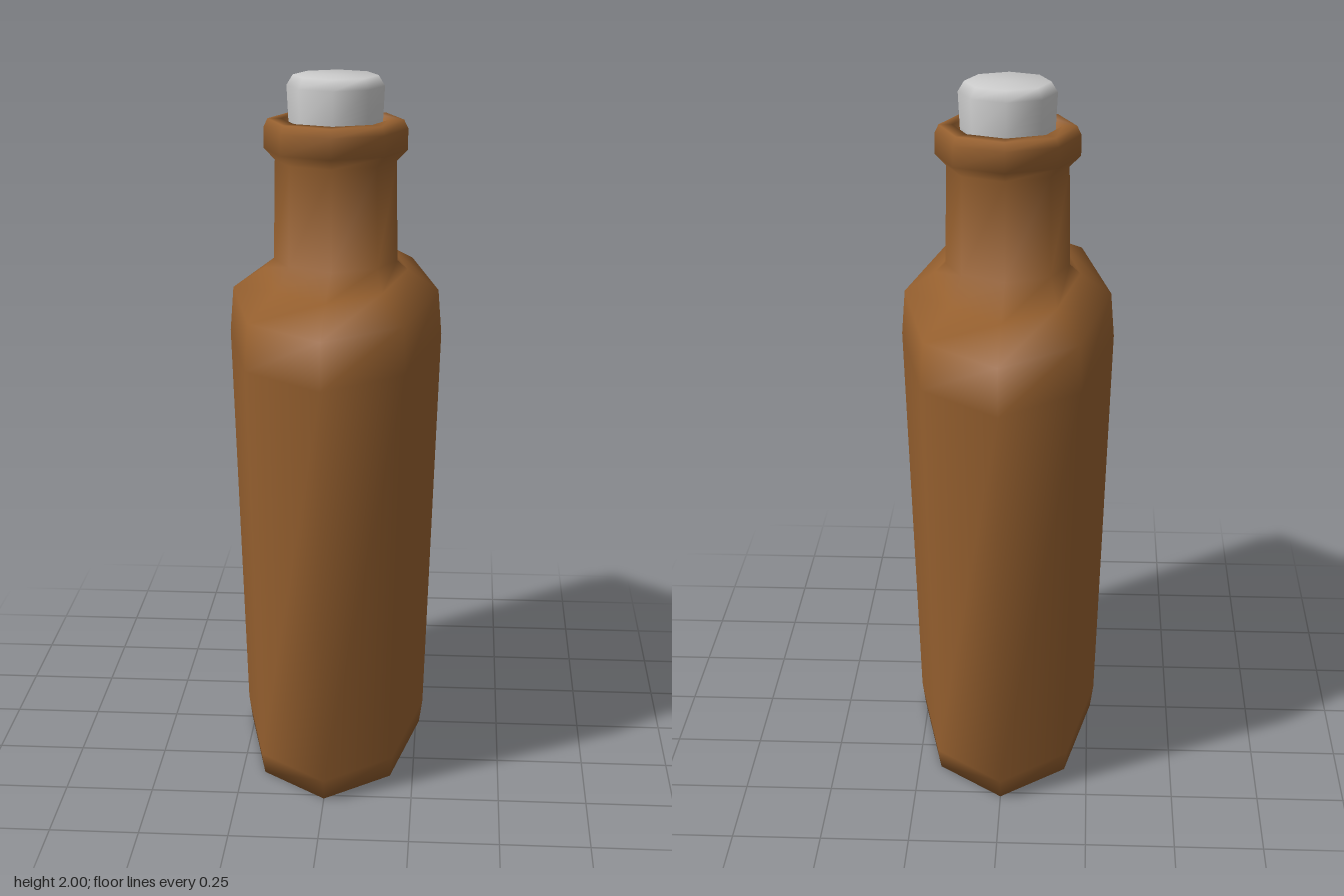
import * as THREE from 'three';

const SIDES = 8;

// Skins a stack of oval octagon rings [radiusX, radiusZ, y] and closes both ends
function loft(rings) {
  const pos = [], idx = [];
  for (const [rx, rz, y] of rings) {
    for (let j = 0; j < SIDES; j++) {
      const a = (j / SIDES) * Math.PI * 2;
      pos.push(rx * Math.sin(a), y, rz * Math.cos(a));
    }
  }
  for (let i = 0; i < rings.length - 1; i++) {
    for (let j = 0; j < SIDES; j++) {
      const k = (j + 1) % SIDES;
      const a = i * SIDES + j, b = i * SIDES + k;
      idx.push(a, b, b + SIDES, a, b + SIDES, a + SIDES);
    }
  }
  // End caps as fans around a centre point
  const last = (rings.length - 1) * SIDES, bottom = rings.length * SIDES, top = bottom + 1;
  pos.push(0, rings[0][2], 0, 0, rings[rings.length - 1][2], 0);
  for (let j = 0; j < SIDES; j++) {
    const k = (j + 1) % SIDES;
    idx.push(bottom, k, j, top, last + j, last + k);
  }
  const geo = new THREE.BufferGeometry();
  geo.setAttribute('position', new THREE.Float32BufferAttribute(pos, 3));
  geo.setIndex(idx);
  geo.computeVertexNormals();
  return geo;
}

export function createModel() {
  const group = new THREE.Group();
  group.name = 'bottle';

  const add = (name, color, rings) => {
    const mesh = new THREE.Mesh(loft(rings), new THREE.MeshStandardMaterial({ color }));
    mesh.name = name;
    group.add(mesh);
  };

  // Flattened flask, shoulders, neck and rolled lip in one skin
  add('flask', 0x96602f, [
    [0.26, 0.52, 0],
    [0.27, 0.55, 0.07],
    [0.31, 0.633, 1.25],
    [0.3, 0.605, 1.38],
    [0.21, 0.435, 1.44],
    [0.18, 0.165, 1.467],
    [0.175, 0.163, 1.757],
    [0.207, 0.2, 1.79],
    [0.207, 0.2, 1.85],
    [0.195, 0.188, 1.875],
    [0.155, 0.147, 1.875],
    [0.148, 0.14, 1.8],
  ]);

  // Stopper
  add('cork', 0xcccccc, [
    [0.133, 0.125, 1.79],
    [0.135, 0.128, 1.87],
    [0.14, 0.132, 1.97],
    [0.122, 0.116, 2],
  ]);

  return group;
}
